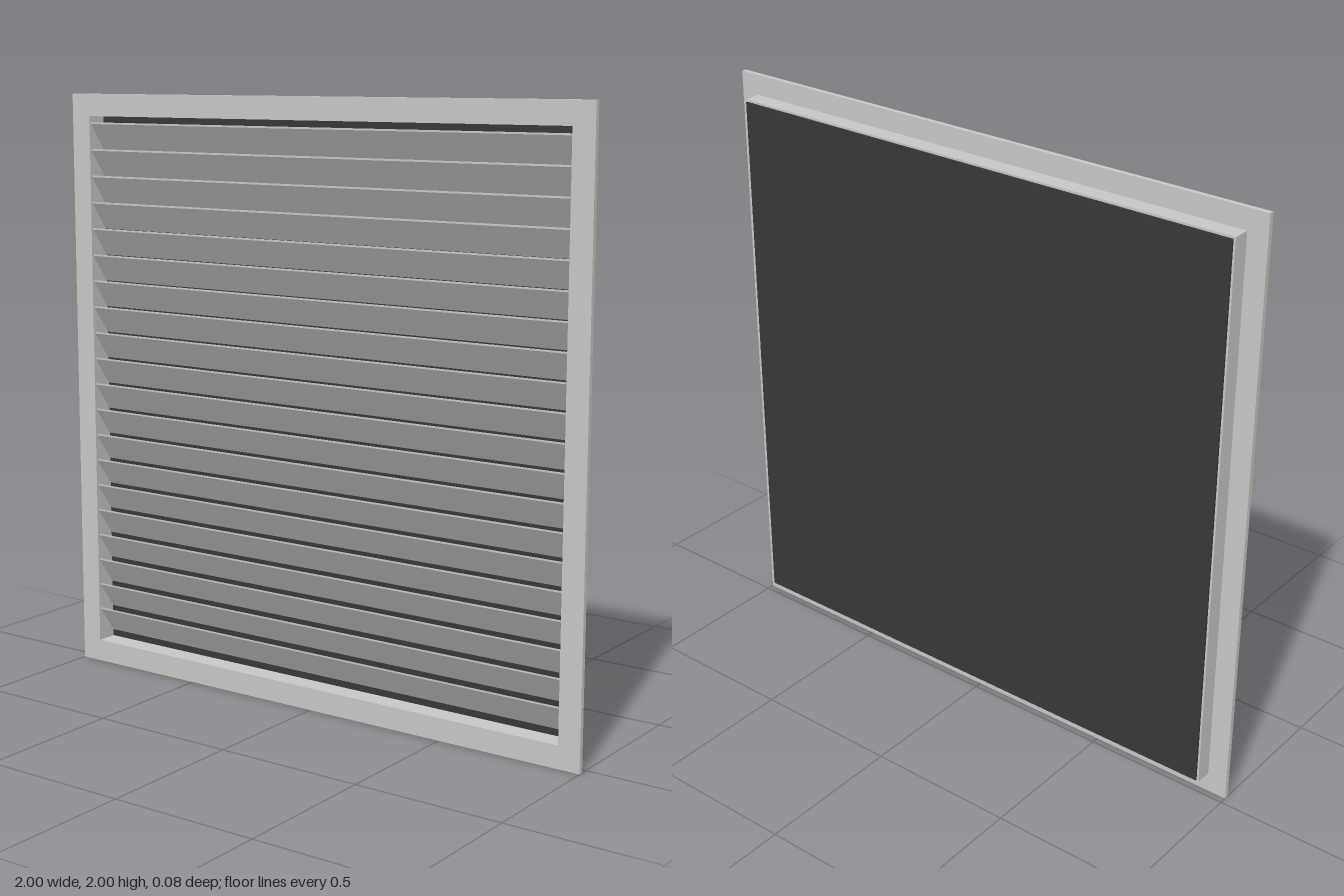
import * as THREE from 'three';

// Square ring of outer half-size a and inner half-size b, from z0 to z1
function ring(a, b, z0, z1) {
  const square = (Type, r) => new Type([
    new THREE.Vector2(-r, -r), new THREE.Vector2(r, -r),
    new THREE.Vector2(r, r), new THREE.Vector2(-r, r),
  ]);
  const shape = square(THREE.Shape, a);
  shape.holes.push(square(THREE.Path, b));
  return new THREE.ExtrudeGeometry(shape, { depth: z1 - z0, bevelEnabled: false })
    .translate(0, 1, z0);
}

export function createModel() {
  const group = new THREE.Group();
  const metal = new THREE.MeshStandardMaterial({ color: 0xc4c7c4 });
  metal.name = 'paleGreyMetal';
  const mesh = new THREE.MeshStandardMaterial({ color: 0x373737 });
  mesh.name = 'darkGreyScreen';

  const add = (name, geometry, material) => {
    const part = new THREE.Mesh(geometry, material);
    part.name = name;
    group.add(part);
    return part;
  };

  // Front flange and the shallow collar behind it
  add('flange', ring(1, 0.925, 0.024, 0.04), metal);
  add('collar', ring(0.932, 0.925, -0.034, 0.024), metal);

  // Dark screen closing the back
  add('backScreen', new THREE.BoxGeometry(1.85, 1.85, 0.008).translate(0, 1, -0.036), mesh);

  // Slanted blades: top edge forward, bottom edge back
  const section = new THREE.Shape([
    new THREE.Vector2(0.032, 0.09), new THREE.Vector2(0.032, 0.096),
    new THREE.Vector2(-0.031, 0.006), new THREE.Vector2(-0.031, 0),
  ]);
  const blade = new THREE.ExtrudeGeometry(section, { depth: 1.85, bevelEnabled: false })
    .translate(0, 0, -0.925)
    .rotateY(-Math.PI / 2); // section x becomes z, length runs along x
  const count = 20, pitch = 0.09;
  for (let i = 0; i < count; i++) {
    add('blade' + (i + 1), blade, metal).position.y = 0.098 + i * pitch;
  }
  return group;
}
